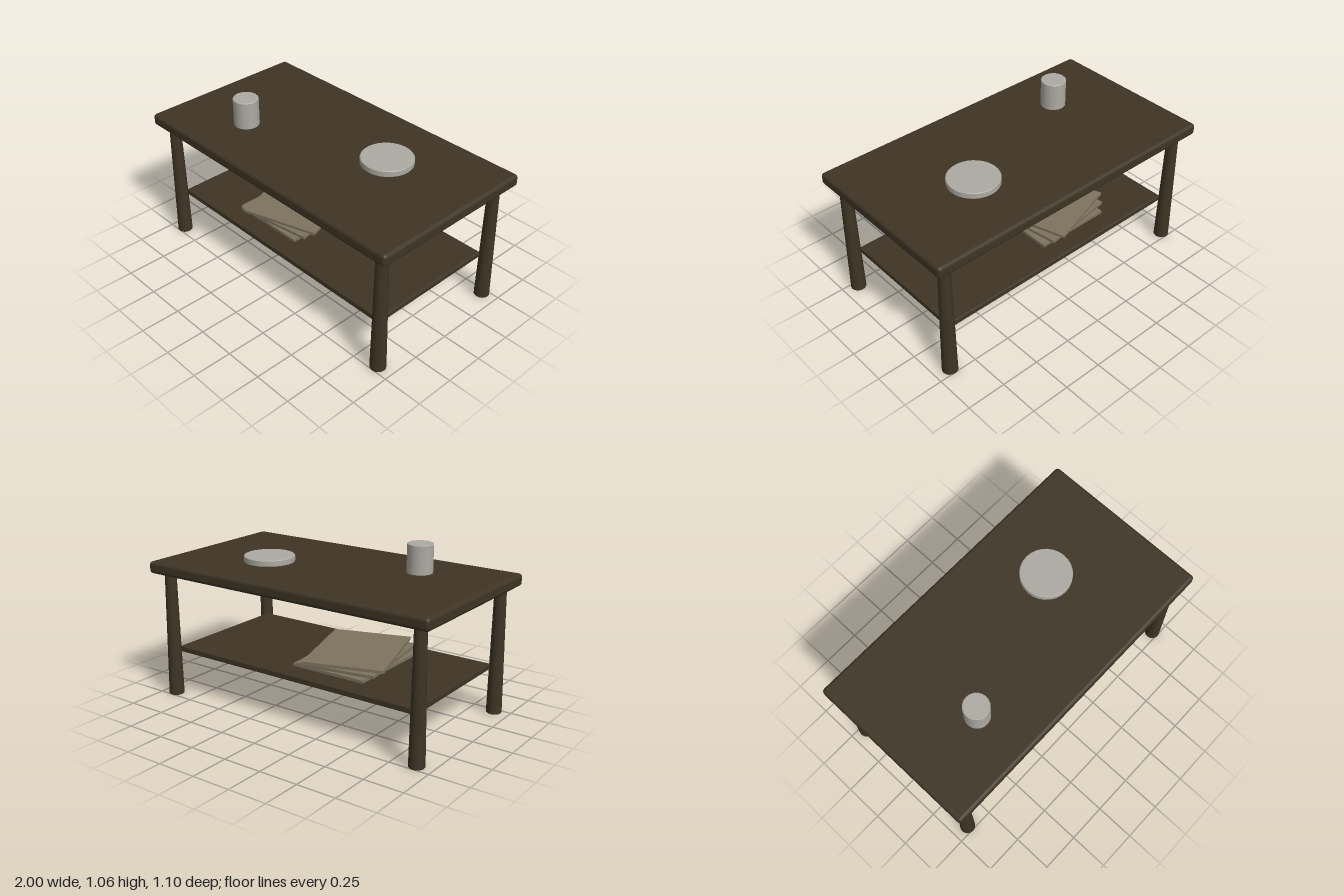
import * as THREE from 'three';
import { RoundedBoxGeometry } from 'three/addons/geometries/RoundedBoxGeometry.js';

const material = (name, color) => {
  const m = new THREE.MeshStandardMaterial({ color });
  m.name = name;
  return m;
};

// Solid round part standing on y = 0, with small bevels on both rims
function roundPart(bottomR, topR, height, sides) {
  const b = 0.004;
  const rows = [[0, 0], [bottomR - b, 0], [bottomR, b], [topR, height - b], [topR - b, height], [0, height]];
  // Each band is its own lathe edge: doubled points keep the rims crisp
  const points = [];
  rows.forEach(([r, y], i) => {
    points.push(new THREE.Vector2(r, y));
    if (i > 0 && i < rows.length - 1) points.push(new THREE.Vector2(r, y + (i < 3 ? 1e-5 : -1e-5) * (i % 2 ? 1 : 0)));
  });
  const unique = points.filter((p, i) => i === 0 || !p.equals(points[i - 1]));
  unique.sort((p, q) => p.y - q.y || 0);
  return new THREE.LatheGeometry(rows.map(([r, y]) => new THREE.Vector2(r, y)), sides).toNonIndexed();
}

// Smooth around the axis, crisp between the bands of a round part
function crisp(geometry) {
  const p = geometry.attributes.position, n = geometry.attributes.normal;
  const a = new THREE.Vector3(), b = new THREE.Vector3(), c = new THREE.Vector3(), v = new THREE.Vector3();
  for (let i = 0; i < p.count; i += 3) {
    a.fromBufferAttribute(p, i);
    b.fromBufferAttribute(p, i + 1).sub(a);
    c.fromBufferAttribute(p, i + 2).sub(a);
    const face = b.cross(c).normalize();
    const radial = Math.hypot(face.x, face.z);
    for (let k = i; k < i + 3; k++) {
      v.fromBufferAttribute(p, k);
      const r = Math.hypot(v.x, v.z);
      if (r > 1e-6) n.setXYZ(k, (v.x / r) * radial, face.y, (v.z / r) * radial);
      else n.setXYZ(k, face.x, face.y, face.z);
    }
  }
  return geometry;
}

export function createModel() {
  const group = new THREE.Group();
  group.name = 'coffeeTable';
  const wood = material('darkWood', 0x3e3524);
  const ceramic = material('paleCeramic', 0xadaaa2);
  const paper = material('tanPaper', 0x7d735f);

  const add = (name, geometry, mat, x, y, z) => {
    const mesh = new THREE.Mesh(geometry, mat);
    mesh.name = name;
    mesh.position.set(x, y, z);
    group.add(mesh);
    return mesh;
  };

  // Rounded tabletop and lower shelf
  add('tableTop', new RoundedBoxGeometry(2, 0.076, 1.1, 3, 0.022), wood, 0, 0.842, 0);
  add('shelf', new RoundedBoxGeometry(1.75, 0.037, 0.87, 2, 0.007), wood, 0, 0.3015, 0);

  // Four tapered legs
  const legGeometry = crisp(roundPart(0.048, 0.036, 0.81, 16));
  for (const x of [-0.903, 0.903]) {
    for (const z of [-0.46, 0.46]) add('leg', legGeometry, wood, x, 0, z);
  }

  // Objects on the tabletop
  add('cup', crisp(roundPart(0.079, 0.079, 0.18, 20)), ceramic, -0.5, 0.88, 0.2);
  add('dish', crisp(roundPart(0.159, 0.159, 0.04, 28)), ceramic, 0.4, 0.88, -0.1);

  // Fanned stack of magazines on the shelf
  for (let i = 0; i < 3; i++) {
    const magazine = add('magazine', new THREE.BoxGeometry(0.5, 0.018, 0.64), paper, -0.2, 0.34 + i * 0.025, 0);
    magazine.rotation.y = i * 0.153;
  }
  return group;
}
